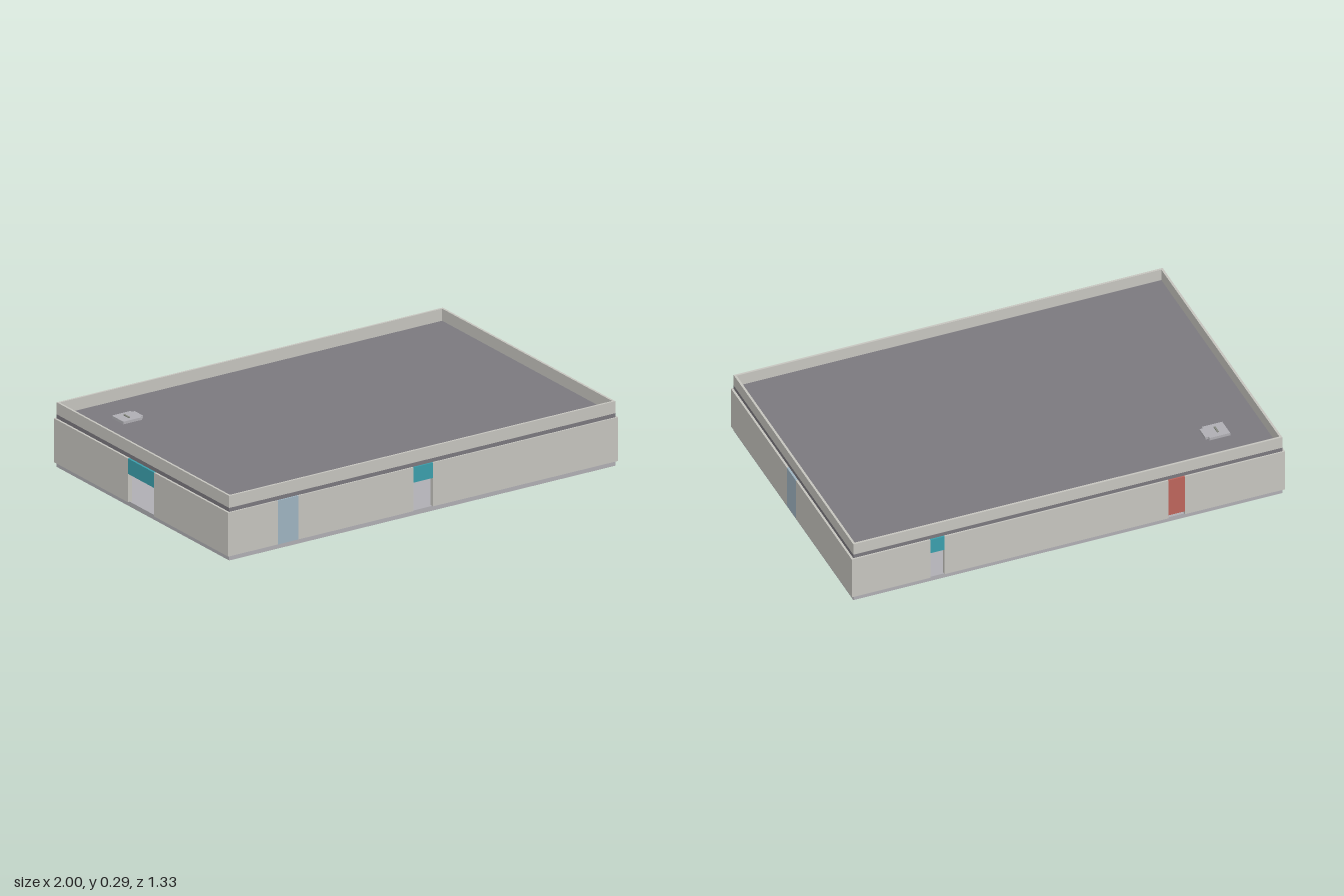
import * as THREE from 'three';

const mat = (color) => new THREE.MeshStandardMaterial({ color });

export function createModel() {
  const model = new THREE.Group();
  const wallMat = mat(0xc6c5bf), floorMat = mat(0xb0afb4), roofMat = mat(0x7b797f);
  const teal = mat(0x3b9fac), blue = mat(0x9fb4c1), red = mat(0xbd655c), dark = mat(0x84877f);

  const X = 1, Z = 0.665, T = 0.02;          // half width, half depth, wall thickness
  const Y0 = 0.022, Y1 = 0.222, DOOR = 0.152, ROOF = 0.24, TOP = 0.295;
  const RX = 0.99, RZ = 0.658;               // half size of plinth, roof and parapet

  // box given by its limits
  const box = (parent, name, m, x0, x1, y0, y1, z0, z1) => {
    const mesh = new THREE.Mesh(new THREE.BoxGeometry(x1 - x0, y1 - y0, z1 - z0), m);
    mesh.position.set((x0 + x1) / 2, (y0 + y1) / 2, (z0 + z1) / 2);
    mesh.name = name;
    parent.add(mesh);
  };

  box(model, 'floorSlab', floorMat, -RX, RX, 0, Y0, -RZ, RZ);
  box(model, 'roofSlab', roofMat, -RX, RX, Y1, ROOF, -RZ, RZ);

  // A wall facing +z in its own frame, split by its openings (listed left to right)
  const fills = {
    door: (g, a, b) => box(g, 'doorLintel', teal, a, b, DOOR, Y1, -T, 0),
    window: (g, a, b) => box(g, 'windowPane', blue, a, b, Y0, Y1, -T, 0),
    shutter: (g, a, b) => box(g, 'shutter', red, a, b, Y0 + 0.016, Y1, -T, 0),
  };
  const wall = (name, half, distance, angle, openings) => {
    const g = new THREE.Group();
    g.name = name;
    let start = -half;
    for (const [kind, a, b] of openings) {
      box(g, 'wallPiece', wallMat, start, a, Y0, Y1, -T, 0);
      fills[kind](g, a, b);
      start = b;
    }
    box(g, 'wallPiece', wallMat, start, half, Y0, Y1, -T, 0);
    g.rotation.y = angle;
    g.position.set(Math.sin(angle) * distance, 0, Math.cos(angle) * distance);
    model.add(g);
  };
  wall('frontWall', X, Z, 0, [['window', -0.745, -0.64], ['door', -0.05, 0.05]]);
  wall('backWall', X, Z, Math.PI, [['door', -0.638, -0.572], ['shutter', 0.461, 0.537]]);
  wall('leftWall', Z - T, X, Math.PI / 2, [['window', -0.05, 0.05]]);
  wall('rightWall', Z - T, X, -Math.PI / 2, [['door', -0.1, 0.1]]);

  // dark panel on the inside of the back wall
  box(model, 'innerPanel', dark, -0.03, 0.03, Y0, Y1, -Z + T, -Z + T + 0.01);

  // parapet ring around the roof
  const rect = (P, x, z) => {
    const p = new P();
    p.moveTo(-x, -z).lineTo(x, -z).lineTo(x, z).lineTo(-x, z).closePath();
    return p;
  };
  const ring = rect(THREE.Shape, RX, RZ);
  ring.holes.push(rect(THREE.Path, RX - 0.01, RZ - 0.01));
  const parapet = new THREE.Mesh(
    new THREE.ExtrudeGeometry(ring, { depth: TOP - ROOF, bevelEnabled: false }), wallMat);
  parapet.rotation.x = -Math.PI / 2;
  parapet.position.y = ROOF;
  parapet.name = 'parapet';
  model.add(parapet);

  // low roof hatch with a narrower tongue and a small handle
  const hatch = new THREE.Group();
  hatch.name = 'roofHatch';
  box(hatch, 'hatchPlate', floorMat, -0.82, -0.725, ROOF, ROOF + 0.012, -0.49, -0.402);
  box(hatch, 'hatchTongue', floorMat, -0.725, -0.71, ROOF, ROOF + 0.012, -0.478, -0.414);
  box(hatch, 'hatchHandle', dark, -0.778, -0.77, ROOF + 0.012, ROOF + 0.016, -0.465, -0.425);
  model.add(hatch);

  return model;
}
